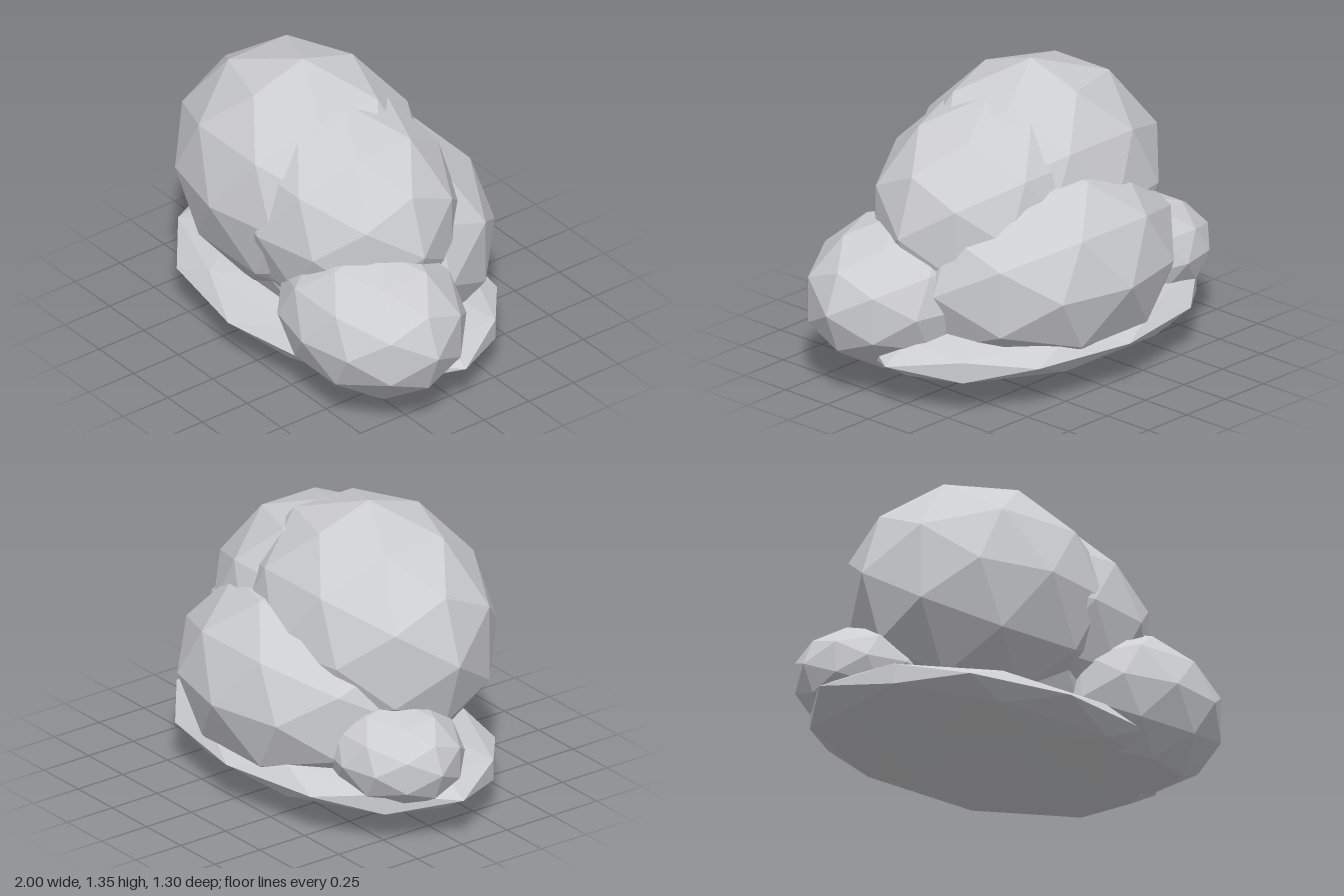
import * as THREE from 'three';

// One faceted puff: a stretched icosphere
function puff(name, center, radii, material) {
  const geometry = new THREE.IcosahedronGeometry(1, 1);
  geometry.rotateY(Math.PI / 2);
  geometry.scale(...radii);
  geometry.computeVertexNormals(); // unindexed, so normals are per face
  const mesh = new THREE.Mesh(geometry, material);
  mesh.name = name;
  mesh.position.set(...center);
  return mesh;
}

export function createModel() {
  const group = new THREE.Group();
  group.name = 'cloud';

  const cloudGrey = new THREE.MeshStandardMaterial({ color: 0xcdced1, flatShading: true });
  cloudGrey.name = 'cloud grey';

  // name, centre, radii
  const puffs = [
    ['mainPuff', [-0.176, 0.775, 0.108], [0.664, 0.577, 0.527]],
    ['upperLeftPuff', [0.105, 0.74, 0.1], [0.593, 0.52, 0.482]],
    ['lowerLeftPuff', [0.515, 0.42, 0.255], [0.485, 0.352, 0.392]],
    ['backPuff', [-0.02, 0.505, -0.083], [0.685, 0.504, 0.57]],
    ['smallRightPuff', [-0.65, 0.365, -0.11], [0.35, 0.24, 0.295]],
    ['flatBase', [-0.06, 0.212, 0.008], [0.94, 0.157, 0.607]],
  ];
  for (const [name, center, radii] of puffs) group.add(puff(name, center, radii, cloudGrey));

  return group;
}
